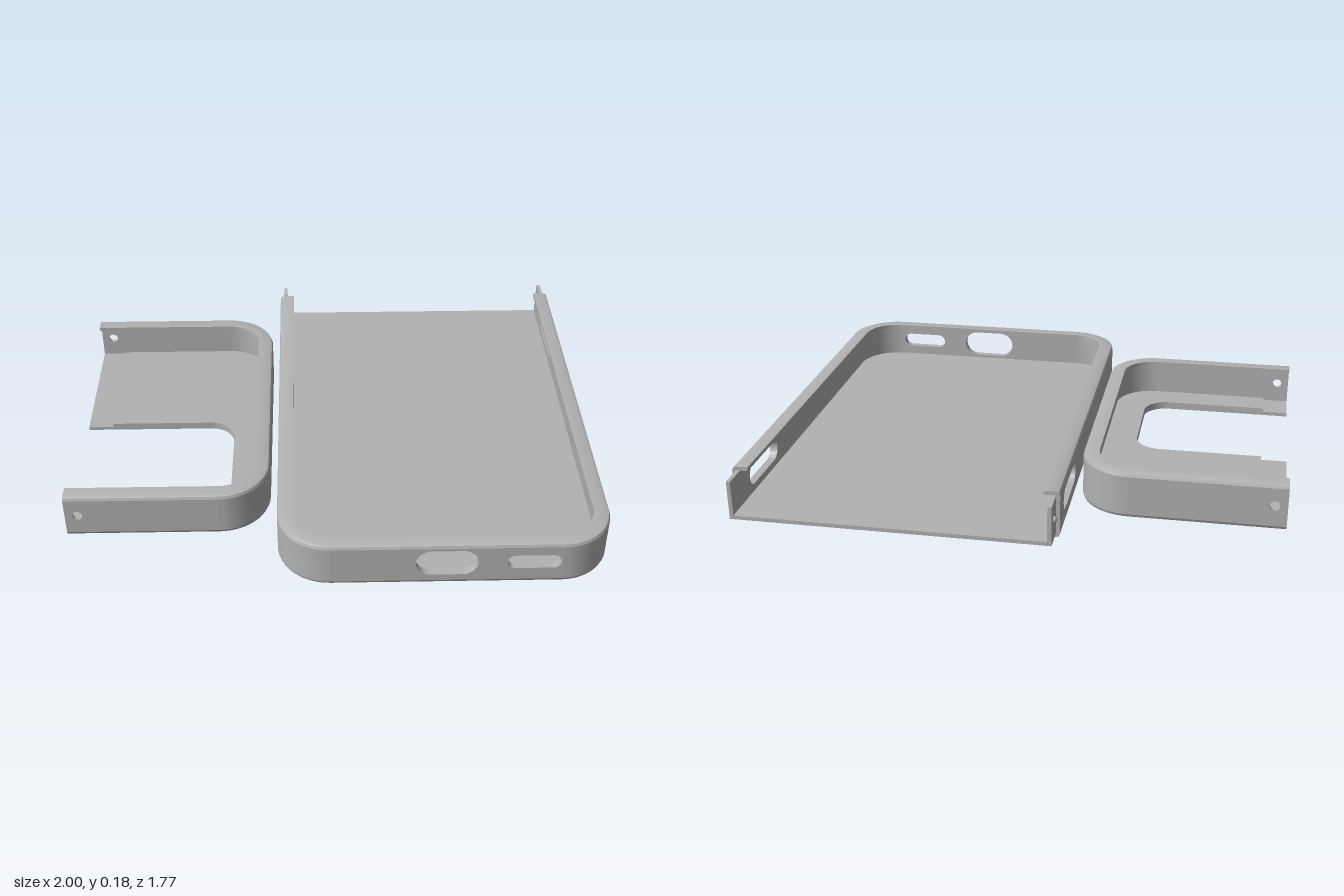
import * as THREE from 'three';
import { toCreasedNormals } from 'three/addons/utils/BufferGeometryUtils.js';

const plastic = new THREE.MeshStandardMaterial({ color: 0xb2b2b2 });
plastic.name = 'grey plastic';

const H = 0.18, SKIN = 0.015, WALL = 0.03, LIP = 0.06, R = 0.19;

function add(group, name, geometry, x = 0, y = 0, z = 0) {
  const mesh = new THREE.Mesh(geometry, plastic);
  mesh.name = name;
  mesh.position.set(x, y, z);
  group.add(mesh);
  return mesh;
}

// Rounded corner stations; side 1 is the +x corner, side -1 the -x corner
function corner(h, z1, side) {
  const stations = [];
  for (let i = 0; i <= 12; i++) {
    const a = (i / 12) * Math.PI / 2 + (side > 0 ? 0 : Math.PI / 2);
    const nx = Math.cos(a), nz = Math.sin(a);
    stations.push({ x: side * (h - R) + R * nx, z: z1 - R + R * nz, nx, nz });
  }
  return stations;
}

// U-shaped path round the open-backed outline
function uPath(h, z0, z1) {
  return [{ x: h, z: z0, nx: 1, nz: 0 }, ...corner(h, z1, 1), ...corner(h, z1, -1),
    { x: -h, z: z0, nx: -1, nz: 0 }];
}

// Sweep a convex profile of [inset, y] points along a path, with end caps
function sweep(path, profile) {
  const pos = [];
  const at = (s, [d, y]) => [s.x - s.nx * d, y, s.z - s.nz * d];
  const tri = (...pts) => pts.forEach((p) => pos.push(...p));
  const n = profile.length;
  for (let i = 0; i < path.length - 1; i++) {
    for (let k = 0; k < n; k++) {
      const p = profile[k], q = profile[(k + 1) % n];
      const a = at(path[i], p), b = at(path[i], q), c = at(path[i + 1], q), d = at(path[i + 1], p);
      tri(a, b, c);
      tri(a, c, d);
    }
  }
  const first = path[0], last = path[path.length - 1];
  for (let k = 1; k < n - 1; k++) {
    tri(at(first, profile[0]), at(first, profile[k + 1]), at(first, profile[k]));
    tri(at(last, profile[0]), at(last, profile[k]), at(last, profile[k + 1]));
  }
  const g = new THREE.BufferGeometry();
  g.setAttribute('position', new THREE.Float32BufferAttribute(pos, 3));
  return toCreasedNormals(g, 0.5);
}

// Rectangle of inset and height, counter-clockwise seen along the path
const band = (d0, d1, y0, y1) => [[d1, y0], [d0, y0], [d0, y1], [d1, y1]];

// Upright panel with rounded slots, each [centre, y, half length, radius]
function panel(a, b, y0, y1, t, slots = []) {
  const s = new THREE.Shape([[a, y0], [b, y0], [b, y1], [a, y1]].map((p) => new THREE.Vector2(...p)));
  for (const [c, y, half, r] of slots) {
    const hole = new THREE.Path();
    hole.absarc(c + half - r, y, r, -Math.PI / 2, Math.PI / 2, false);
    hole.absarc(c - half + r, y, r, Math.PI / 2, Math.PI * 1.5, false);
    hole.closePath();
    s.holes.push(hole);
  }
  return toCreasedNormals(new THREE.ExtrudeGeometry(s, { depth: t, bevelEnabled: false, curveSegments: 12 }), 0.5);
}

// Matching pair of side panels running from z0 to z1
function sidePanels(group, name, h, z0, z1, y0, y1, t, slots = [], inset = 0) {
  const g = panel(-z1, -z0, y0, y1, t, slots.map(([c, ...rest]) => [-c, ...rest]));
  g.rotateY(Math.PI / 2);
  add(group, 'left ' + name, g, h - inset - t);
  add(group, 'right ' + name, g, -h + inset);
}

// Floor layer inside the rounded base, with an optional notch open to the back
function floorPlate(h, z0, z1, yTop, t, notch) {
  const w = h - LIP, f = z1 - LIP, r = R - LIP, s = new THREE.Shape();
  s.moveTo(w, z0);
  s.lineTo(w, f - r);
  s.absarc(w - r, f - r, r, 0, Math.PI / 2, false);
  s.absarc(-w + r, f - r, r, Math.PI / 2, Math.PI, false);
  s.lineTo(-w, z0);
  if (notch) {
    const { x0, x1, depth, r: c } = notch;
    s.lineTo(x0, z0);
    s.absarc(x0 + c, depth - c, c, Math.PI, Math.PI / 2, true);
    s.absarc(x1 - c, depth - c, c, Math.PI / 2, 0, true);
    s.lineTo(x1, z0);
  }
  s.closePath();
  const g = new THREE.ExtrudeGeometry(s, { depth: t, bevelEnabled: false, curveSegments: 12 });
  g.rotateX(Math.PI / 2);
  g.translate(0, yTop, 0);
  return toCreasedNormals(g, 0.5);
}

// Open-backed shell: floor, walls with rounded corners and an inward lip
function shell(name, { h, zLow, zUp, zFloor, zWall, z1, sideSlots = [], frontSlots = [], notch }) {
  const g = new THREE.Group();
  g.name = name;
  const top = H - SKIN, e = SKIN * 0.3;
  add(g, 'base edge', sweep(uPath(h, zLow, z1),
    [[LIP, 0], [SKIN, 0], [e, e], [0, SKIN], [LIP, SKIN]]));
  add(g, 'inner base edge', sweep(uPath(h, zUp, z1), band(0, LIP, SKIN, WALL)));
  add(g, 'lip', sweep(uPath(h, zLow, z1),
    [[LIP, top], [0, top], [e, H - e], [SKIN, H], [LIP, H]]));
  add(g, 'lower floor', floorPlate(h, zLow, z1, SKIN, SKIN, notch));
  add(g, 'upper floor', floorPlate(h, zFloor, z1, WALL, SKIN, notch));
  sidePanels(g, 'wall', h, zWall, z1 - R, WALL, top, WALL, sideSlots);
  add(g, 'front wall', panel(-h + R, h - R, WALL, top, WALL, frontSlots), 0, 0, z1 - WALL);
  for (const side of [1, -1]) {
    add(g, 'corner wall', sweep(corner(h, z1, side), band(0, WALL, WALL, top)));
  }
  return g;
}

export function createModel() {
  const model = new THREE.Group();
  model.name = 'two-part sliding case';

  // Large tray, open at the back
  const h = 0.605, back = -0.885, end = -0.79;
  const tray = shell('tray', {
    h, zLow: end, zUp: end, zFloor: back, zWall: end, z1: 0.885,
    sideSlots: [[-0.567, 0.098, 0.143, 0.041]],
    frontSlots: [[-0.318, 0.098, 0.097, 0.03], [0, 0.098, 0.112, 0.056], [0.312, 0.098, 0.097, 0.03]],
  });
  // Thin tongue that slides into the cap, with a snap bump on each side
  sidePanels(tray, 'tongue', h, back, end, SKIN, H - SKIN, SKIN, [], SKIN);
  for (const s of [1, -1]) {
    add(tray, 'tongue floor edge', new THREE.BoxGeometry(LIP - SKIN, SKIN, end - back),
      s * (h - (LIP + SKIN) / 2), SKIN * 1.5, (back + end) / 2);
    add(tray, 'snap bump', new THREE.SphereGeometry(0.013, 16, 10), s * (h - SKIN), 0.096, -0.84);
  }
  tray.position.x = 0.395;
  model.add(tray);

  // Short cap with a camera notch, opening towards the model's right
  const mouth = -1, step = -0.9;
  const cap = shell('cap', {
    h: 0.602, zLow: mouth, zUp: step, zFloor: step, zWall: step, z1: -0.24,
    notch: { x0: -0.45, x1: 0.045, depth: -0.395, r: 0.1 },
  });
  sidePanels(cap, 'socket wall', 0.602, mouth, step, SKIN, H - SKIN, SKIN, [[-0.953, 0.096, 0.019, 0.019]]);
  cap.rotation.y = Math.PI / 2;
  model.add(cap);

  return model;
}
